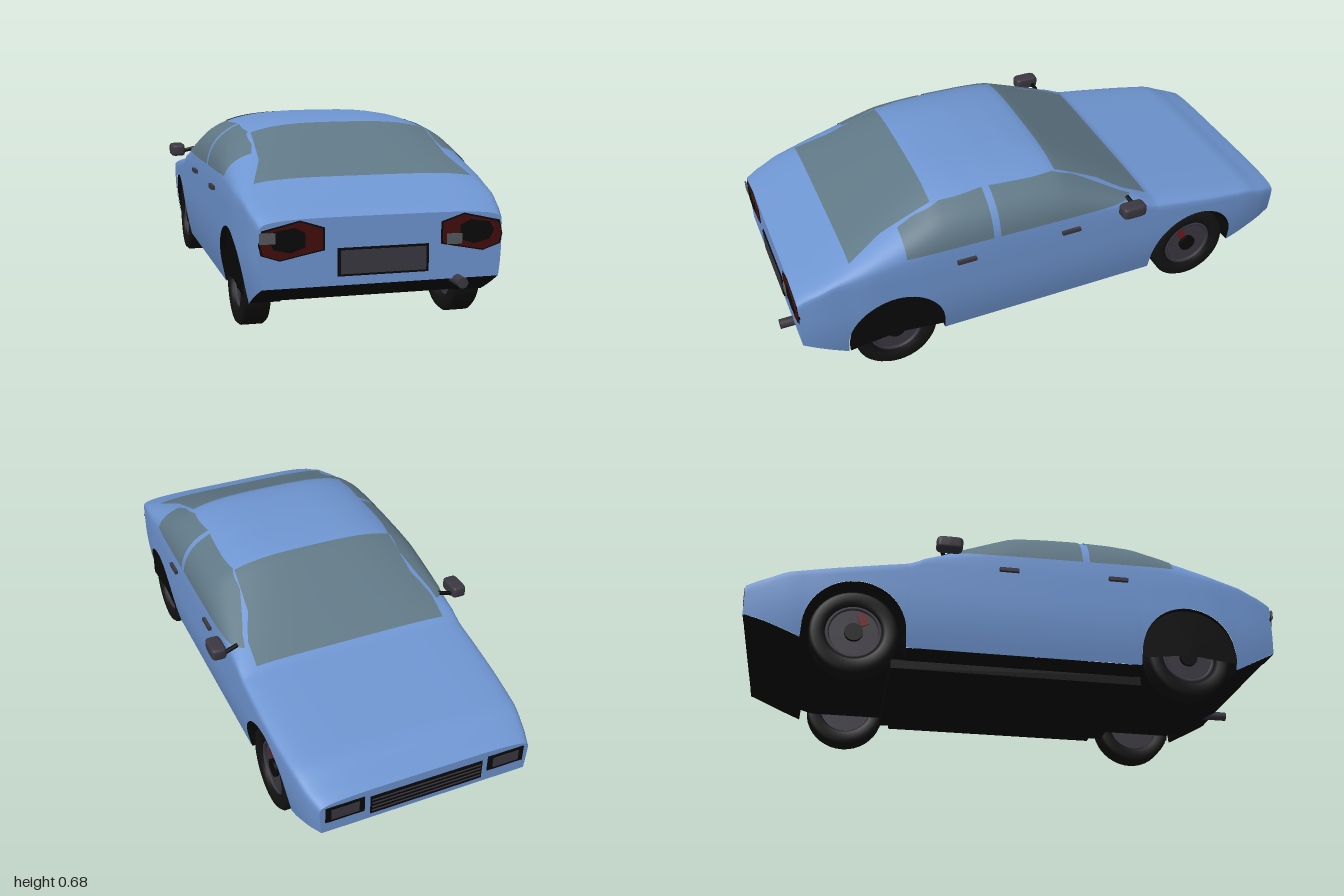
import * as THREE from 'three';

const mat = (name, color, side = THREE.FrontSide) => {
  const m = new THREE.MeshStandardMaterial({ color, side });
  m.name = name;
  return m;
};

// Piecewise linear curve through [z, value] points, with softened corners
const lerp = (pts, z) => {
  if (z <= pts[0][0]) return pts[0][1];
  for (let i = 1; i < pts.length; i++) {
    const [a, p] = pts[i - 1], [b, q] = pts[i];
    if (z <= b) return p + (q - p) * (z - a) / (b - a);
  }
  return pts[pts.length - 1][1];
};
const soft = (pts, z, r = 0.024) => {
  let s = 0;
  for (let k = -3; k <= 3; k++) s += lerp(pts, z + k * r / 3);
  return s / 7;
};

// Body outline: nose at -z, tail at +z
const TOP = [[-1, .325], [-.98, .342], [-.93, .352], [-.87, .38], [-.42, .452], [-.05, .66], [.05, .673],
  [.2, .68], [.33, .675], [.42, .662], [.89, .446], [.93, .437], [.95, .41]];
const WIDTH = [[-1, .39], [-.95, .41], [-.85, .427], [-.7, .437], [-.55, .44], [.5, .44], [.7, .436],
  [.85, .42], [.93, .406], [.95, .397]];
const BOTTOM = [[-1, .2], [-.93, .175], [-.8, .12], [-.75, .105], [.75, .105], [.8, .12], [.95, .2]];
const AXLES = [-.615, .61], ARCH = .182;

const top = z => soft(TOP, z);
const width = z => soft(WIDTH, z);
const belt = z => Math.min(.43, top(z) - .045);
const power = z => 3 + 1.5 * (1 - Math.min(1, (top(z) - belt(z)) / .25));
const bottom = z => {
  let y = lerp(BOTTOM, z);
  for (const c of AXLES) {
    const d = Math.abs(z - c);
    if (d <= ARCH) y = Math.max(y, .155 + Math.sqrt(Math.max(0, ARCH * ARCH - d * d)));
  }
  return y;
};
// Surface of the body: width at a height, and height at a width
const sideX = (y, z) => {
  const b = belt(z), w = width(z), n = power(z);
  if (y < b) return w * (1 - .055 * Math.max(0, (.32 - y) / .2) ** 2);
  return w * Math.max(0, 1 - Math.min(1, (y - b) / (top(z) - b)) ** n) ** (1 / n);
};
const topY = (x, z) => {
  const b = belt(z), n = power(z);
  return b + (top(z) - b) * Math.max(0, 1 - Math.min(1, Math.abs(x) / width(z)) ** n) ** (1 / n);
};

// Skin through rows of points
function loft(rows) {
  const n = rows[0].length, idx = [];
  for (let i = 0; i < rows.length - 1; i++) for (let j = 0; j < n - 1; j++) {
    const a = i * n + j, c = a + n;
    idx.push(a, a + 1, c, a + 1, c + 1, c);
  }
  const g = new THREE.BufferGeometry();
  g.setAttribute('position', new THREE.Float32BufferAttribute(rows.flat(2), 3));
  g.setIndex(idx);
  g.computeVertexNormals();
  return g;
}
const range = n => Array.from({ length: n + 1 }, (_, i) => i / n);

// Half section from the lower edge to the roof centre, mirrored to a whole one
function section(z) {
  const y0 = bottom(z), b = Math.max(belt(z), y0 + .01), n = power(z), half = [];
  for (const t of range(7)) {
    const y = y0 + (b - y0) * t;
    half.push([sideX(y, z), y, z]);
  }
  for (const t of range(14).slice(1)) {
    const a = t * Math.PI / 2;
    const x = sideX(b, z) * Math.cos(a) ** (2 / n);
    half.push(t === 1 ? [0, top(z), z] : [x, Math.max(b, topY(x, z)), z]);
  }
  return [...half, ...half.slice(0, -1).reverse().map(([x, y]) => [-x, y, z])];
}

export function createModel() {
  const car = new THREE.Group();
  const paint = mat('bluePaint', 0x6f96d2);
  const glass = mat('glass', 0x607886, THREE.DoubleSide);
  const black = mat('blackTrim', 0x090909, THREE.DoubleSide);
  const rubber = mat('rubber', 0x131313);
  const grey = mat('darkGrey', 0x3b3841);
  const red = mat('lampRed', 0x430d0c);
  const caliperRed = mat('caliperRed', 0x701a1c);
  const lampGrey = mat('lampGrey', 0x55595d);

  const add = (name, geo, m, x = 0, y = 0, z = 0, parent = car) => {
    const mesh = new THREE.Mesh(geo, m);
    mesh.name = name;
    mesh.position.set(x, y, z);
    parent.add(mesh);
    return mesh;
  };
  const box = (name, w, h, d, m, x, y, z, parent) => add(name, new THREE.BoxGeometry(w, h, d), m, x, y, z, parent);

  // Stations along the car, closer together around the arches
  let zs = range(78).map(t => -1 + 1.95 * t);
  for (const c of AXLES) {
    zs = zs.filter(z => Math.abs(z - c) > ARCH + .004);
    for (const t of range(24)) zs.push(c - ARCH * Math.cos(t * Math.PI));
    zs.push(c - ARCH - .002, c + ARCH + .002);
  }
  zs.sort((a, b) => a - b);
  add('bodyShell', loft(zs.map(section)), paint);

  // Flat nose and tail panels
  for (const [name, z] of [['nosePanel', -1], ['tailPanel', .95]]) {
    const shape = new THREE.Shape(section(z).map(([x, y]) => new THREE.Vector2(x, y)));
    add(name, new THREE.ShapeGeometry(shape), paint, 0, 0, z).rotation.y = z < 0 ? Math.PI : 0;
  }

  // Underbody with wheel wells
  add('underbody', loft(zs.map(z => {
    const y = bottom(z), f = lerp(BOTTOM, z) + .004, w = sideX(y, z) - .002;
    return [[-w, y, z], [-.3, y, z], [-.3, f, z], [.3, f, z], [.3, y, z], [w, y, z]];
  })), black);
  box('floorPan', .59, .035, .93, black, 0, .0925, -.01);

  // Windscreen and rear window
  const pane = (name, outline) => {
    const z0 = outline[0][0], z1 = outline[outline.length - 1][0];
    add(name, loft(range(24).map(u => {
      const z = z0 + (z1 - z0) * u, w = lerp(outline, z);
      return range(20).map(v => [w * (1 - 2 * v), topY(w * (1 - 2 * v), z) + .005, z]);
    })), glass);
  };
  pane('windscreen', [[-.41, .375], [-.32, .372], [-.27, .355], [-.22, .332], [-.05, .32]]);
  pane('rearWindow', [[.43, .32], [.62, .33], [.75, .375]]);

  // Side windows
  const sidePane = (name, s, z0, z1, hi) => add(name, loft(range(24).map(u => {
    const z = z0 + (z1 - z0) * u, lo = .492 + .015 * z;
    return range(10).map(v => {
      const y = lo + (lerp(hi, z) - lo) * v;
      return [s * (sideX(y, z) + .005), y, z];
    });
  })), glass);

  // Tyre profile, as radius and position across the tread
  const tyre = new THREE.LatheGeometry([[.1, -.035], [.11, -.047], [.145, -.047], [.155, -.036], [.155, .036],
    [.145, .047], [.11, .047], [.1, .035], [.1, -.035]].map(p => new THREE.Vector2(...p)), 40);
  const disc = (r, h) => new THREE.CylinderGeometry(r, r, h, 32);

  for (const s of [1, -1]) {
    const side = s > 0 ? 'left' : 'right';
    sidePane(side + 'FrontWindow', s, -.33, .21,
      [[-.33, .489], [-.29, .508], [-.12, .598], [-.04, .63], [.21, .642]]);
    sidePane(side + 'RearWindow', s, .237, .56, [[.237, .642], [.4, .632], [.5, .6], [.56, .575]]);

    // Wheels
    AXLES.forEach((z, i) => {
      const wheel = new THREE.Group();
      wheel.name = side + (i ? 'RearWheel' : 'FrontWheel');
      wheel.position.set(s * .367, .155, z);
      wheel.rotation.z = -s * Math.PI / 2;
      car.add(wheel);
      add('tyre', tyre, rubber, 0, 0, 0, wheel);
      add('rimDisc', disc(.101, .05), grey, 0, 0, 0, wheel);
      add('rimRing', new THREE.TorusGeometry(.093, .007, 8, 36), grey, 0, .03, 0, wheel).rotation.x = Math.PI / 2;
      add('hub', disc(.033, .02), black, 0, .028, 0, wheel);
      if (!i) box('caliper', .045, .006, .028, caliperRed, -s * .052, .027, .03, wheel).rotation.y = .4;
    });

    // Dark shield over the upper half of the rear wheel
    add(side + 'RearWheelShield', new THREE.CircleGeometry(.18, 32, -.12, Math.PI + .24), black,
      s * .418, .155, AXLES[1]).rotation.y = s * Math.PI / 2;

    // Door mirror, arm and handles
    const housing = new THREE.SphereGeometry(1, 20, 14);
    const p = housing.attributes.position;
    for (let i = 0; i < p.count; i++) {
      const f = k => Math.sign(k) * Math.abs(k) ** .4;
      p.setXYZ(i, f(p.getX(i)) * .028, f(p.getY(i)) * .024, f(p.getZ(i)) * .048);
    }
    housing.computeVertexNormals();
    add(side + 'Mirror', housing, grey, s * .486, .49, -.295);
    const arm = new THREE.LineCurve3(new THREE.Vector3(s * .41, .492, -.31), new THREE.Vector3(s * .47, .478, -.32));
    add(side + 'MirrorArm', new THREE.TubeGeometry(arm, 1, .008, 8), black);
    for (const z of [-.068, .343]) box(side + 'DoorHandle', .018, .014, .072, grey, s * .443, .431, z);

    // Tail lamps
    const plate = (name, pts, depth, m) => {
      const shape = new THREE.Shape(pts.map(([x, y]) => new THREE.Vector2(s * x, y)));
      add(name, new THREE.ExtrudeGeometry(shape, { depth, bevelEnabled: false }), m, 0, 0, .946);
    };
    plate(side + 'TailLampFrame', [[.192, .388], [.27, .413], [.392, .385], [.402, .34], [.395, .308],
      [.335, .288], [.192, .316]], .006, black);
    plate(side + 'TailLamp', [[.198, .384], [.27, .408], [.385, .38], [.398, .345], [.388, .31],
      [.335, .293], [.198, .32]], .009, red);
    plate(side + 'TailLampCore', [[.255, .375], [.29, .392], [.355, .382], [.37, .355], [.355, .325],
      [.3, .313], [.255, .33]], .012, black);
    box(side + 'ReverseLamp', .05, .034, .006, lampGrey, s > 0 ? .235 : -.375, s > 0 ? .332 : .362, .958);

    // Headlamps
    box(side + 'HeadlampFrame', .14, .062, .008, black, s * .302, .276, -1);
    box(side + 'Headlamp', .1, .042, .008, grey, s * .302, .276, -1.002);
  }

  // Grille with slats
  box('grille', .42, .075, .008, black, 0, .26, -1);
  for (let k = 0; k < 4; k++) box('grilleSlat', .41, .005, .006, grey, 0, .236 + k * .016, -1.003);

  // Number plate, left blank
  box('plateFrame', .3, .09, .008, black, 0, .275, .951);
  box('plate', .282, .076, .008, grey, 0, .275, .953);

  // Exhaust
  add('exhaust', new THREE.CylinderGeometry(.018, .018, .12, 20), grey, .25, .195, .94).rotation.x = Math.PI / 2;

  return car;
}
